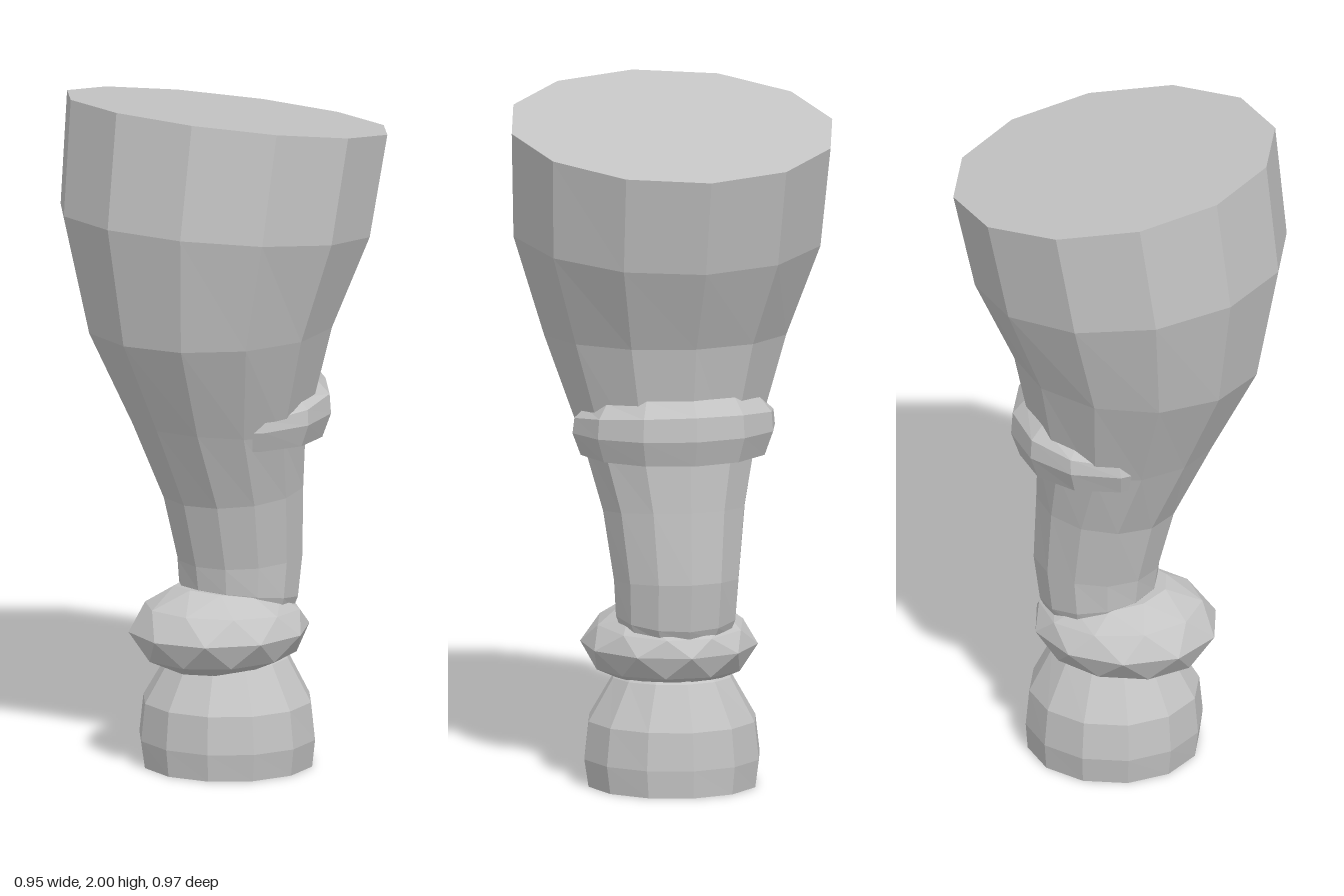
import * as THREE from 'three';

const SIDES = 12;
const stone = new THREE.MeshStandardMaterial({ color: 0xc4c4c4, flatShading: true });
stone.name = 'plain grey';

// Closed loft through tilted elliptical rings, listed from the bottom up.
// Ring: [front z, front y, back z, back y, half width]; zigzag turns every other ring half a step.
function loft(name, rings, sides = SIDES, zigzag = false) {
  const points = rings.map(([zf, yf, zb, yb, w], r) => {
    const shift = zigzag && r % 2 ? 0.5 : 0;
    return Array.from({ length: sides }, (_, i) => {
      const a = ((i + shift) / sides) * Math.PI * 2;
      const c = Math.cos(a);
      return new THREE.Vector3(
        w * Math.sin(a),
        (yf + yb) / 2 + ((yf - yb) / 2) * c,
        (zf + zb) / 2 + ((zf - zb) / 2) * c
      );
    });
  });
  const pos = [];
  const tri = (...corners) => corners.forEach((p) => pos.push(p.x, p.y, p.z));
  const middle = ([zf, yf, zb, yb]) => new THREE.Vector3(0, (yf + yb) / 2, (zf + zb) / 2);
  const last = rings.length - 1;
  for (let i = 0; i < sides; i++) {
    const j = (i + 1) % sides;
    for (let r = 0; r < last; r++) {
      const a = points[r], b = points[r + 1];
      if (zigzag && r % 2) {
        tri(a[i], b[j], b[i]);
        tri(a[i], a[j], b[j]);
      } else {
        tri(a[i], a[j], b[i]);
        tri(a[j], b[j], b[i]);
      }
    }
    // end caps
    tri(middle(rings[0]), points[0][j], points[0][i]);
    tri(middle(rings[last]), points[last][i], points[last][j]);
  }
  const geometry = new THREE.BufferGeometry();
  geometry.setAttribute('position', new THREE.Float32BufferAttribute(pos, 3));
  geometry.computeVertexNormals();
  const mesh = new THREE.Mesh(geometry, stone);
  mesh.name = name;
  return mesh;
}

export function createModel() {
  const group = new THREE.Group();
  group.name = 'furnitureLeg';

  // rounded foot
  group.add(loft('foot', [
    [0.23, 0, -0.27, 0, 0.248],
    [0.24, 0.08, -0.275, 0.08, 0.26],
    [0.23, 0.19, -0.265, 0.19, 0.247],
    [0.16, 0.31, -0.2, 0.32, 0.175],
    [0.1, 0.37, -0.14, 0.37, 0.12],
  ]));

  // faceted ankle ring
  group.add(loft('ankleRing', [
    [0.165, 0.29, -0.18, 0.32, 0.15],
    [0.25, 0.33, -0.22, 0.34, 0.215],
    [0.29, 0.405, -0.255, 0.405, 0.255],
    [0.24, 0.48, -0.235, 0.455, 0.215],
    [0.14, 0.535, -0.2, 0.48, 0.155],
  ], 10, true));

  // curved leg flaring to a slanted top
  group.add(loft('leg', [
    [0.08, 0.46, -0.22, 0.45, 0.16],
    [0.105, 0.53, -0.235, 0.48, 0.178],
    [0.115, 0.6, -0.255, 0.62, 0.185],
    [0.165, 0.79, -0.245, 0.83, 0.21],
    [0.28, 1.03, -0.24, 0.98, 0.255],
    [0.42, 1.305, -0.305, 1.32, 0.36],
    [0.487, 1.66, -0.42, 1.56, 0.457],
    [0.45, 2, -0.485, 1.84, 0.475],
  ]));

  // cuff around the back of the knee
  group.add(loft('kneeCuff', [
    [0.22, 0.975, -0.29, 0.975, 0.275],
    [0.24, 1.03, -0.315, 1.05, 0.3],
    [0.23, 1.05, -0.31, 1.12, 0.295],
    [0.2, 1.06, -0.27, 1.17, 0.262],
  ]));

  return group;
}
